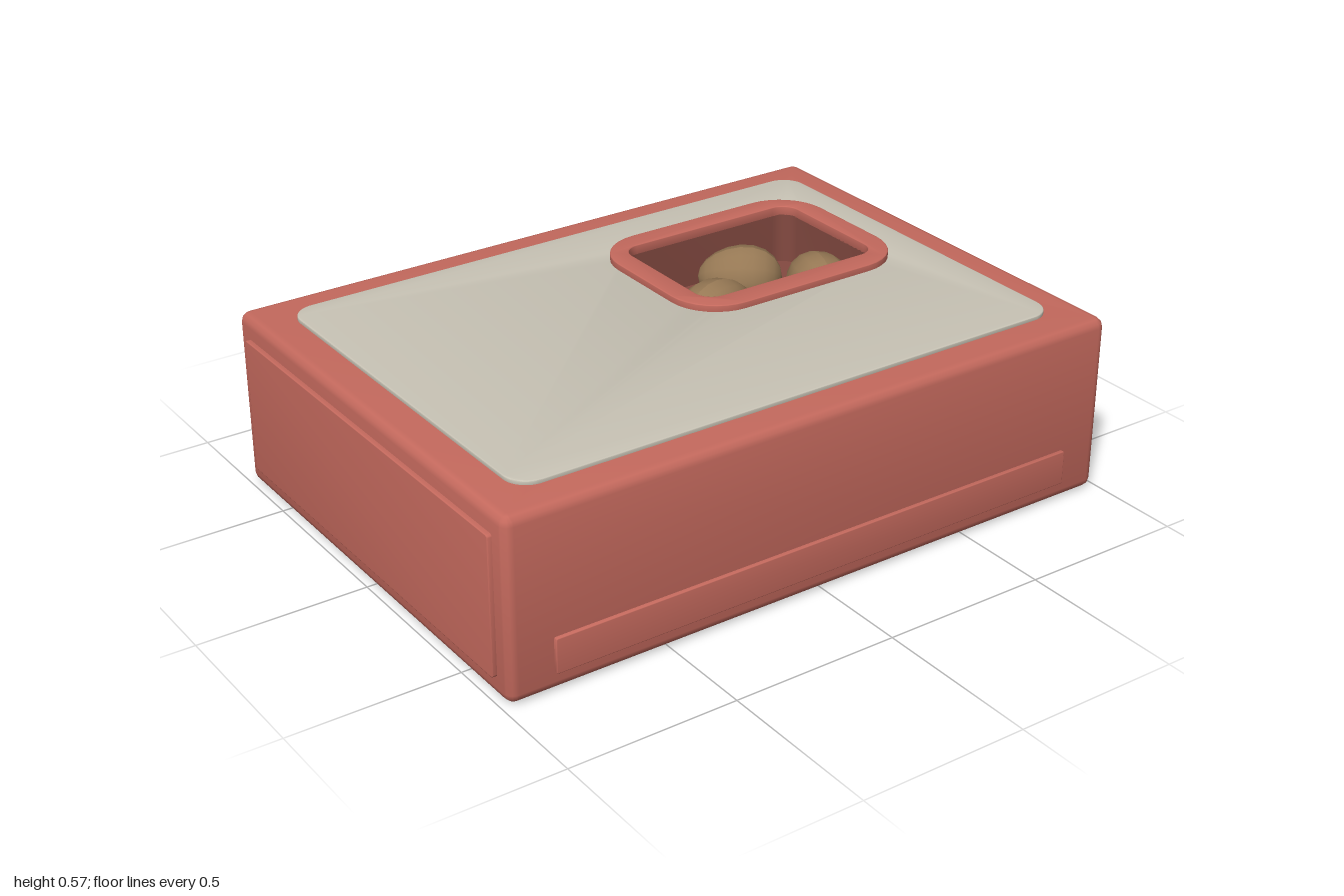
import * as THREE from 'three';
import { toCreasedNormals } from 'three/addons/utils/BufferGeometryUtils.js';

const mat = (name, color) => new THREE.MeshStandardMaterial({ name, color });

// Rounded rectangle outline centred on (cx, cy)
function roundRect(Type, w, h, r, cx = 0, cy = 0) {
  const s = new Type(), x = w / 2 - r, y = h / 2 - r;
  s.absarc(cx + x, cy + y, r, 0, Math.PI / 2);
  s.absarc(cx - x, cy + y, r, Math.PI / 2, Math.PI);
  s.absarc(cx - x, cy - y, r, Math.PI, Math.PI * 1.5);
  s.absarc(cx + x, cy - y, r, Math.PI * 1.5, Math.PI * 2);
  s.closePath();
  return s;
}

// Plate of thickness t with bevelled edges, spanning local z = 0..t
function plate(shape, t, bevel, curveSegments = 4) {
  const g = new THREE.ExtrudeGeometry(shape, {
    depth: t - 2 * bevel, bevelEnabled: bevel > 0, bevelThickness: bevel,
    bevelSize: bevel, bevelOffset: -bevel, bevelSegments: 3, curveSegments,
  });
  return toCreasedNormals(g.translate(0, 0, bevel), 0.7);
}

// Lay a plate flat: outline y becomes -z, thickness goes up from y0
const lay = (g, y0) => g.rotateX(-Math.PI / 2).translate(0, y0, 0);

export function createModel() {
  const model = new THREE.Group();
  const red = mat('terracotta red', 0xc4695d);
  const darkRed = mat('deep red', 0x844a41);
  const grey = mat('warm grey', 0xc8c3b5);
  const brown = mat('egg brown', 0x967854);
  const add = (name, geometry, material) => {
    const m = new THREE.Mesh(geometry, material);
    m.name = name;
    model.add(m);
    return m;
  };

  // Opening for the tray, in outline coordinates (y = -z)
  const hx = 0.403, hy = 0.185, hw = 0.61, hh = 0.43;
  const opening = (grow, r) => roundRect(THREE.Path, hw + grow, hh + grow, r, hx, hy);

  // Main case with a well, closed underneath
  const caseShape = roundRect(THREE.Shape, 1.972, 1.434, 0.03, 0, 0.005);
  caseShape.holes.push(opening(0.01, 0.06));
  add('case', lay(plate(caseShape, 0.536, 0.028), 0.004), red);
  add('base', lay(plate(roundRect(THREE.Shape, 1.91, 1.37, 0.03, 0, 0.005), 0.006, 0), 0), red);

  // Top panel, cut out under the rim
  const top = roundRect(THREE.Shape, 1.76, 1.222, 0.07, 0, 0.003);
  top.holes.push(opening(0.06, 0.09));
  add('topPanel', lay(plate(top, 0.017, 0.003, 6), 0.535), grey);

  // Raised rim round the tray
  const rim = roundRect(THREE.Shape, 0.743, 0.57, 0.15, hx, 0.182);
  rim.holes.push(opening(0, 0.055));
  add('trayRim', lay(plate(rim, 0.032, 0.003, 4), 0.54), red);

  // Tray walls and floor
  const wall = roundRect(THREE.Shape, hw + 0.01, hh + 0.01, 0.06, hx, hy);
  wall.holes.push(opening(0, 0.055));
  add('trayWall', lay(plate(wall, 0.165, 0), 0.38), darkRed);
  add('trayFloor', lay(plate(roundRect(THREE.Shape, hw + 0.005, hh + 0.005, 0.055, hx, hy), 0.02, 0), 0.37), darkRed);

  // Eggs: x, z, heading of the narrow end
  [[0.24, -0.117, 0.2], [0.436, -0.27, 2.5], [0.6, -0.1, 1.3]].forEach(([x, z, turn], i) => {
    const g = new THREE.SphereGeometry(1, 14, 10);
    const p = g.attributes.position;
    for (let k = 0; k < p.count; k++) {
      const y = p.getY(k), taper = 0.096 * (1 - 0.12 * y);
      p.setXYZ(k, p.getX(k) * taper, y * 0.126, p.getZ(k) * taper);
    }
    g.rotateZ(-Math.PI / 2);
    g.computeVertexNormals();
    const egg = add('egg' + (i + 1), g, brown);
    egg.position.set(x, 0.445, z);
    egg.rotation.y = turn;
  });

  // Side panels
  for (const side of [1, -1]) {
    const g = plate(roundRect(THREE.Shape, 1.314, 0.41, 0.008), 0.03, 0.003, 2);
    g.rotateY(side * Math.PI / 2);
    add(side > 0 ? 'leftPanel' : 'rightPanel', g, red).position.set(side * 0.97, 0.272, 0);
  }

  // Front strip
  const strip = plate(roundRect(THREE.Shape, 1.704, 0.104, 0.006), 0.03, 0.003, 2);
  add('frontStrip', strip, red).position.set(0, 0.111, 0.693);

  return model;
}
